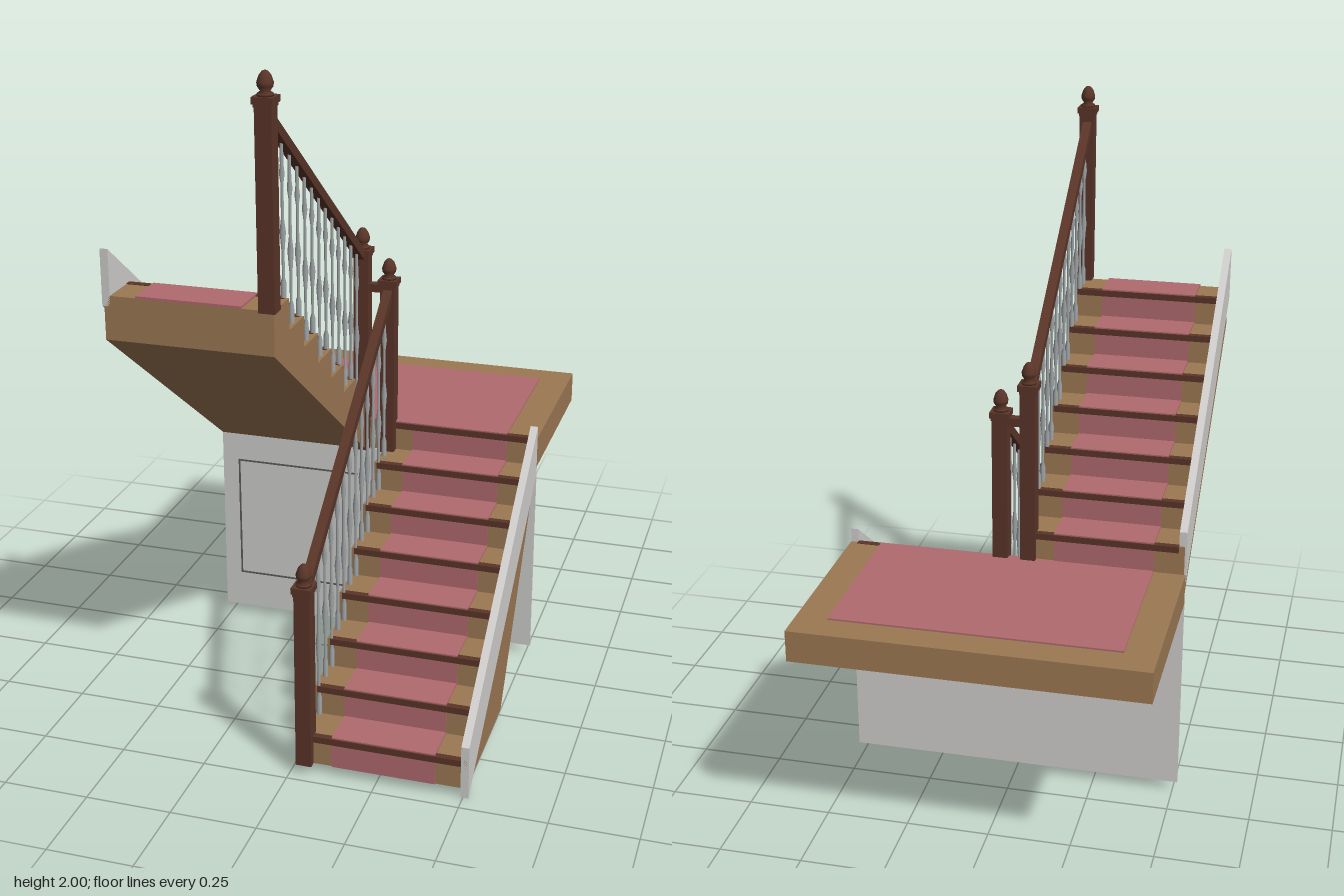
import * as THREE from 'three';

const mat = (name, color, side = THREE.FrontSide) => {
  const m = new THREE.MeshStandardMaterial({ color, side });
  m.name = name;
  return m;
};

export function createModel() {
  const root = new THREE.Group();
  root.name = 'staircase';
  const wood = mat('tan wood', 0x9c7853);
  const dark = mat('dark wood', 0x5a3528);
  const carpet = mat('red carpet', 0xb06a6e);
  const white = mat('white paint', 0xd0cfcd);
  const grey = mat('grey metal', 0xa0a4a6);
  const line = mat('door groove', 0x5c5a57);
  const brass = mat('brass', 0xb8a070);

  const add = (parent, name, geo, material) => {
    const m = new THREE.Mesh(geo, material);
    m.name = name;
    parent.add(m);
    return m;
  };
  // Box given by its limits on each axis
  const box = (parent, name, material, x0, x1, y0, y1, z0, z1) => {
    const m = add(parent, name, new THREE.BoxGeometry(x1 - x0, y1 - y0, z1 - z0), material);
    m.position.set((x0 + x1) / 2, (y0 + y1) / 2, (z0 + z1) / 2);
    return m;
  };
  // Side profile of [z, y] points, extruded from x0 to x1
  const profile = (parent, name, material, pts, x0, x1) => {
    const shape = new THREE.Shape(pts.map(([z, y]) => new THREE.Vector2(z, y)));
    const geo = new THREE.ExtrudeGeometry(shape, { depth: x1 - x0, bevelEnabled: false });
    geo.rotateY(-Math.PI / 2);
    geo.translate(x1, 0, 0);
    return add(parent, name, geo, material);
  };

  const N = 7, RUN = 0.12, RISE = 0.0893;
  const Z0 = 0.70, ZL = -0.14;          // flight ends
  const BASE = 0.03, LAND = 0.745;      // floor and landing heights

  // Landing with carpet
  box(root, 'landing', wood, -0.515, 0.515, 0.65, LAND, -0.73, ZL);
  box(root, 'landingCarpet', carpet, -0.42, 0.42, LAND, LAND + 0.005, -0.64, ZL + 0.002);

  // One flight: side +1 climbs toward -z, side -1 climbs toward +z
  function flight(name, side, startZ, startY, under, stringerY) {
    const g = new THREE.Group();
    g.name = name;
    root.add(g);
    const span = (a, b) => (side > 0 ? [a, b] : [-b, -a]);
    const slab = (part, m, xs, y0, y1, za, zb) =>
      box(g, part, m, xs[0], xs[1], y0, y1, Math.min(za, zb), Math.max(za, zb));
    const pts = [];
    for (let i = 0; i < N; i++) {
      const z = startZ - side * RUN * i, y = startY + RISE * (i + 1);
      pts.push([z, y], [z - side * RUN, y]);
    }
    profile(g, 'stepBody', wood, [...pts, ...under], ...span(0.03, 0.51));

    for (let i = 0; i <= N; i++) {
      const z = startZ - side * RUN * i, y = startY + RISE * (i + 1);
      if (i === N && side < 0) break;
      // Nosing, then carpet on riser and tread
      slab('nosing', dark, span(0.04, 0.493), y - 0.017, y + 0.002, z + side * 0.008, z - side * 0.012);
      slab('riserCarpet', carpet, span(0.12, 0.42), y - RISE, y - 0.017, z + side * 0.004, z - side * 0.002);
      if (i < N) {
        slab('treadCarpet', carpet, span(0.12, 0.42), y - 0.001, y + 0.006,
          z + side * 0.004, z - side * RUN);
      }
    }
    // Outer skirt board
    const [zl, zh] = side > 0 ? [Z0, ZL + 0.005] : [ZL + 0.005, Z0];
    const [y0, y1] = stringerY;
    profile(g, 'skirtBoard', white, [[zl, y0], [zh, y1], [zh, y1 + 0.16], [zl, y0 + 0.16]],
      ...span(0.493, 0.516));
    return g;
  }
  const lower = flight('lowerFlight', 1, Z0, BASE,
    [[ZL, 0.65], [ZL, 0.63], [0.27, BASE], [Z0, BASE]], [0, 0.625]);
  const upper = flight('upperFlight', -1, ZL, LAND,
    [[Z0, 1.245], [-0.125, 0.65], [ZL, 0.65]], [0.72, 1.34]);

  // Newel post with square collars and an acorn finial
  const acorn = new THREE.LatheGeometry([
    [0, 0], [0.022, 0], [0.022, 0.006], [0.013, 0.012], [0.021, 0.024],
    [0.022, 0.034], [0.016, 0.052], [0.008, 0.062], [0, 0.065],
  ].map(([r, y]) => new THREE.Vector2(r, y)), 16);
  function newel(x, z, y0, top) {
    const g = new THREE.Group();
    g.name = 'newelPost';
    root.add(g);
    const sq = (n, h, a, b) => box(g, n, dark, x - h, x + h, a, b, z - h, z + h);
    sq('postShaft', 0.023, y0, top - 0.08);
    sq('postCollar', 0.029, top - 0.083, top - 0.065);
    sq('postNeck', 0.025, top - 0.092, top - 0.083);
    add(g, 'finial', acorn, dark).position.set(x, top - 0.065, z);
  }
  const X = 0.042, ZP = -0.135;
  newel(X, Z0, BASE, 0.655);
  newel(X, ZP, 0.65, 1.28);
  newel(-X, ZP, 0.65, 1.37);
  newel(-X, Z0, 1.37, 2.0);

  // Handrails, with a short link between the middle posts
  const rail = (parent, x, yA, yB) => profile(parent, 'handrail', dark,
    [[Z0, yA - 0.017], [Z0, yA + 0.017], [ZP, yB + 0.017], [ZP, yB - 0.017]].reverse(),
    x - 0.014, x + 0.014);
  const lowA = 0.57, lowB = 1.185, upA = 1.89, upB = 1.275;
  rail(lower, X + 0.002, lowA, lowB);
  rail(upper, -X - 0.002, upA, upB);
  box(root, 'linkRail', dark, -X, X, 1.172, 1.197, ZP - 0.014, ZP + 0.014);

  // Turned balusters, two on each tread
  const turned = [[0.008, 0], [0.008, 0.1], [0.004, 0.13], [0.0045, 0.3], [0.009, 0.42],
    [0.0045, 0.5], [0.004, 0.72], [0.008, 0.78], [0.005, 0.84], [0.005, 1]];
  const baluster = (parent, x, z, y0, y1) => {
    const geo = new THREE.LatheGeometry(
      turned.map(([r, t]) => new THREE.Vector2(r, t * (y1 - y0))), 8);
    add(parent, 'baluster', geo, grey).position.set(x, y0, z);
  };
  for (let k = 0; k < 13; k++) {
    const z = 0.642 - 0.06 * k, t = (Z0 - z) / (Z0 - ZP);
    const low = Math.min(N - 1, Math.floor((Z0 - z) / RUN));
    const up = Math.min(N - 1, Math.floor((z - ZL) / RUN));
    baluster(lower, X + 0.002, z, BASE + RISE * (low + 1), lowA + (lowB - lowA) * t);
    baluster(upper, -X - 0.002, z, LAND + RISE * (up + 1), upA + (upB - upA) * t);
  }

  // Back wall below the landing and triangular wall under the lower flight
  box(root, 'backWall', white, -0.515, 0.515, BASE, 0.65, ZL - 0.004, ZL + 0.004);
  profile(root, 'sideWall', white, [[0.27, BASE], [ZL, 0.63], [ZL, BASE]].reverse(), 0.018, 0.029);

  // Panel grooves and knob on the wall
  const zf = ZL + 0.004;
  for (const s of [-1, 1]) {
    const strip = (a, b, y0, y1) => box(root, 'panelGroove', line,
      Math.min(s * a, s * b), Math.max(s * a, s * b), y0, y1, zf - 0.001, zf + 0.003);
    strip(0.457, 0.462, 0.15, 0.557);
    strip(0.06, 0.46, 0.552, 0.557);
    strip(0.06, 0.46, 0.15, 0.155);
  }
  add(root, 'knob', new THREE.SphereGeometry(0.009, 12, 8), brass).position.set(-0.147, 0.415, zf + 0.006);

  return root;
}
